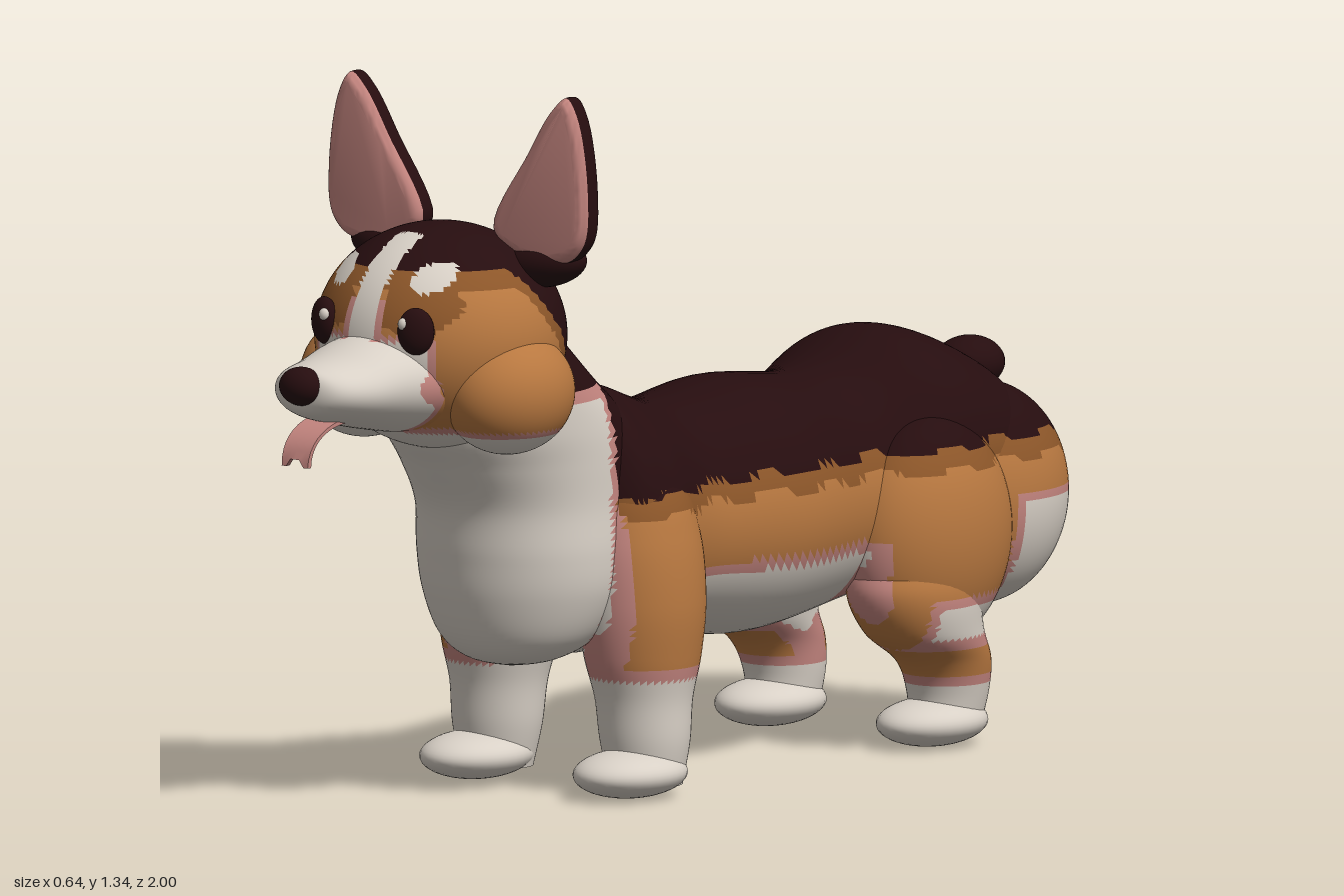
import * as THREE from 'three';
import { mergeVertices, toCreasedNormals } from 'three/addons/utils/BufferGeometryUtils.js';

const mat = (name, color) => {
  const m = new THREE.MeshStandardMaterial({ color });
  m.name = name;
  return m;
};
const DARK = 0, MID = 1, ORANGE = 2, WHITE = 3, PINK = 4;
const palette = [
  mat('dark fur', 0x260d0f), mat('brown fur', 0x8c5629), mat('orange fur', 0xb87840),
  mat('white fur', 0xd8d0c6), mat('pink skin', 0xc4857f),
];

// Ellipsoid at p with radii r
function ball(p, r, w = 32, h = 24, rot = [0, 0, 0]) {
  const g = new THREE.SphereGeometry(1, w, h).scale(...r);
  g.rotateX(rot[0]).rotateY(rot[1]).rotateZ(rot[2]);
  return g.translate(...p);
}

// Smooth tube through elliptical sections [position, centreX, centre2, radiusX, radius2]
function loft(axis, sections, around, along) {
  const g = new THREE.CylinderGeometry(1, 1, 1, around, along, true);
  const last = sections.length - 1;
  const spline = new THREE.CubicInterpolant(sections.map((_, i) => i), sections.flat(), 5, new Float32Array(5));
  const p = g.attributes.position;
  for (let i = 0; i < p.count; i++) {
    const t = THREE.MathUtils.clamp((p.getY(i) + 0.5) * last, 0, last);
    const [pos, cx, c2, rx, r2] = spline.evaluate(t);
    const x = cx + p.getX(i) * Math.max(rx, 0), k = p.getZ(i) * Math.max(r2, 0);
    if (axis === 'y') p.setXYZ(i, x, pos, c2 + k);
    else p.setXYZ(i, x, c2 - k, pos);
  }
  g.deleteAttribute('uv');
  g.deleteAttribute('normal');
  const welded = mergeVertices(g);
  welded.computeVertexNormals();
  return welded;
}

// Sort the triangles into one group per fur colour
function paint(geometry, rule) {
  const src = geometry.index ? geometry.toNonIndexed() : geometry;
  const P = src.attributes.position, N = src.attributes.normal;
  const bins = palette.map(() => []);
  const tri = new THREE.Triangle(), mid = new THREE.Vector3(), n = new THREE.Vector3();
  for (let i = 0; i < P.count; i += 3) {
    tri.setFromAttributeAndIndices(P, i, i + 1, i + 2);
    tri.getMidpoint(mid);
    tri.getNormal(n);
    bins[rule(mid, n)].push(i, i + 1, i + 2);
  }
  const out = new THREE.BufferGeometry();
  out.setAttribute('position', P);
  out.setAttribute('normal', N);
  out.setIndex(bins.flat());
  let start = 0;
  bins.forEach((b, m) => {
    if (b.length) out.addGroup(start, b.length, m);
    start += b.length;
  });
  return out;
}

// Coat of torso and legs: white zones, pink rim, dark saddle, brown edge
function bodyCoat({ x, y, z }) {
  const a = Math.abs(x);
  const w = Math.max(
    Math.min(z - 0.32, 0.75 - y),                       // bib
    Math.min(0.385 - y, 0.09 - z, z + 0.4),             // belly sides
    Math.min(0.385 - y, 0.11 - a),                      // belly underside
    Math.min(0.44 - y, -0.76 - z),                      // rump
    Math.min(0.22 - y, z),                              // front stockings
    Math.min(0.27 - y, y - 0.21, -0.5 - z),             // hock patch
    0.115 - y                                           // hind socks
  );
  if (w > 0) return WHITE;
  if (w > -0.02) return PINK;
  const edge = 0.56 + 0.008 * Math.sin(z * 42);
  return y > edge ? DARK : y > edge - 0.035 ? MID : ORANGE;
}

// Coat of the head: blaze, brow spots, muzzle, cap
function headCoat({ x, y, z }) {
  const a = Math.abs(x);
  if (z > 0.6 && Math.hypot((a - 0.105) / 0.032, (y - 1.01) / 0.027) < 1) return WHITE;
  const w = Math.max(
    Math.min(0.895 - y, 0.13 - a, z - 0.74),
    Math.min(0.715 - y, z - 0.4),
    Math.min(0.03 - a, z - 0.65)
  );
  if (w > 0) return WHITE;
  if (w > -0.012 && y < 0.97) return PINK;
  const cap = Math.min(0.77 + 1.2 * (z - 0.38), 1.02);
  if (y > cap) return DARK;
  const eyePatch = z > 0.65 && Math.hypot((a - 0.1) / 0.07, (y - 0.955) / 0.045) < 1;
  return y > cap - 0.035 || eyePatch ? MID : ORANGE;
}

export function createModel() {
  const model = new THREE.Group();
  model.name = 'dog';
  const add = (name, geometry, coat) => {
    const painted = typeof coat === 'function';
    const mesh = new THREE.Mesh(painted ? paint(geometry, coat) : geometry, painted ? palette : palette[coat]);
    mesh.name = name;
    model.add(mesh);
    return mesh;
  };

  // Torso, from rump to shoulders
  add('torso', loft('z', [
    [-0.95, 0, 0.52, 0, 0], [-0.92, 0, 0.525, 0.15, 0.085], [-0.82, 0, 0.53, 0.235, 0.17],
    [-0.64, 0, 0.53, 0.255, 0.23], [-0.45, 0, 0.48, 0.22, 0.22], [-0.22, 0, 0.475, 0.245, 0.24],
    [0, 0, 0.478, 0.212, 0.218], [0.18, 0, 0.5, 0.245, 0.25], [0.29, 0, 0.52, 0.21, 0.24],
    [0.38, 0, 0.52, 0, 0],
  ], 72, 108), bodyCoat);

  // Chest and neck, rising into the head
  add('chestAndNeck', loft('y', [
    [0.24, 0, 0.37, 0, 0], [0.258, 0, 0.365, 0.09, 0.08], [0.3, 0, 0.35, 0.155, 0.135],
    [0.38, 0, 0.332, 0.195, 0.18], [0.46, 0, 0.33, 0.205, 0.195], [0.55, 0, 0.33, 0.2, 0.21],
    [0.63, 0, 0.35, 0.2, 0.24], [0.7, 0, 0.39, 0.2, 0.25], [0.78, 0, 0.44, 0.195, 0.2],
    [0.86, 0, 0.5, 0.18, 0.175], [0.94, 0, 0.52, 0.13, 0.13],
  ], 72, 72), bodyCoat);

  // Head and muzzle
  add('head', ball([0, 0.88, 0.57], [0.235, 0.21, 0.23], 96, 64), headCoat);
  add('muzzle', loft('z', [
    [0.55, 0, 0.81, 0.16, 0.1], [0.7, 0, 0.812, 0.15, 0.098], [0.8, 0, 0.815, 0.125, 0.085],
    [0.88, 0, 0.812, 0.108, 0.064], [0.94, 0, 0.815, 0.085, 0.05], [0.968, 0, 0.818, 0.05, 0.035],
    [0.975, 0, 0.82, 0, 0],
  ], 56, 54), headCoat);
  add('nose', ball([0, 0.828, 0.965], [0.046, 0.036, 0.035]), DARK);

  // Tongue, a thin slab bent downward with a notched tip
  const tongue = new THREE.BoxGeometry(0.078, 0.01, 1, 6, 1, 10);
  const tp = tongue.attributes.position;
  for (let i = 0; i < tp.count; i++) {
    const t = tp.getZ(i) + 0.5, x = tp.getX(i);
    const notch = t > 0.95 && Math.abs(x) < 0.02 ? 0.014 : 0;
    tp.setXYZ(i, x * (1 - 0.2 * t), 0.76 + tp.getY(i) * (1 - t) - 0.08 * t * t + notch,
      0.86 + 0.12 * Math.sin(t * Math.PI / 2) + tp.getY(i) * t);
  }
  tongue.computeVertexNormals();
  add('tongue', tongue, PINK);

  // Tail stub
  add('tail', ball([0, 0.655, -0.93], [0.063, 0.05, 0.07]), DARK);

  for (const [side, s] of [['left', 1], ['right', -1]]) {
    const name = (part) => side + part;

    // Cheek, eye and highlight
    add(name('Cheek'), ball([s * 0.172, 0.79, 0.58], [0.113, 0.115, 0.135], 56, 40), headCoat);
    add(name('Eye'), ball([s * 0.11, 0.918, 0.77], [0.035, 0.044, 0.022], 24, 18, [0, s * 0.4, 0]), DARK);
    add(name('EyeHighlight'), ball([s * 0.095, 0.932, 0.789], [0.011, 0.012, 0.009], 12, 8), WHITE);

    // Ear with pink front
    const outline = new THREE.CatmullRomCurve3([
      [0.085, 1.08], [0.17, 1.23], [0.225, 1.312], [0.26, 1.338], [0.288, 1.3],
      [0.312, 1.165], [0.304, 1.07], [0.26, 1.03], [0.15, 1.035],
    ].map(([x, y]) => new THREE.Vector3(s * x, y, 0)), true).getPoints(60).slice(0, -1);
    const ear = new THREE.ExtrudeGeometry(new THREE.Shape(outline.map((p) => new THREE.Vector2(p.x, p.y))), {
      depth: 0.012, bevelThickness: 0.022, bevelSize: 0.02, bevelOffset: -0.02, bevelSegments: 5, steps: 1,
    }).translate(0, 0, 0.5);
    add(name('Ear'), toCreasedNormals(ear, 0.9), (p, n) => (n.z > 0.3 ? PINK : DARK));
    add(name('EarBase'), ball([s * 0.18, 1.02, 0.49], [0.095, 0.045, 0.055], 32, 20, [0, 0, s * 0.15]), DARK);

    // Front leg and paw
    add(name('FrontLeg'), loft('y', [
      [0.02, s * 0.18, 0.2, 0.07, 0.065], [0.1, s * 0.178, 0.2, 0.086, 0.08], [0.18, s * 0.175, 0.2, 0.092, 0.09],
      [0.26, s * 0.172, 0.2, 0.107, 0.112], [0.36, s * 0.17, 0.2, 0.115, 0.125], [0.48, s * 0.16, 0.2, 0.11, 0.125],
      [0.58, s * 0.14, 0.2, 0.09, 0.1], [0.66, s * 0.12, 0.2, 0, 0],
    ], 48, 60), bodyCoat);
    add(name('FrontPaw'), ball([s * 0.185, 0.045, 0.25], [0.095, 0.045, 0.12]), WHITE);

    // Haunch, rump lobe, hind leg and paw
    add(name('Haunch'), ball([s * 0.19, 0.4, -0.585], [0.13, 0.22, 0.19], 64, 44), bodyCoat);
    add(name('Rump'), ball([s * 0.13, 0.443, -0.797], [0.155, 0.208, 0.19], 64, 44), bodyCoat);
    add(name('HindLeg'), loft('y', [
      [0.02, s * 0.195, -0.63, 0.06, 0.07], [0.1, s * 0.197, -0.637, 0.074, 0.08], [0.16, s * 0.2, -0.62, 0.084, 0.095],
      [0.22, s * 0.2, -0.565, 0.1, 0.125], [0.3, s * 0.195, -0.54, 0.11, 0.14], [0.38, s * 0.19, -0.55, 0.09, 0.12],
    ], 48, 48), bodyCoat);
    add(name('HindPaw'), ball([s * 0.195, 0.045, -0.595], [0.09, 0.045, 0.12]), WHITE);
  }
  return model;
}
